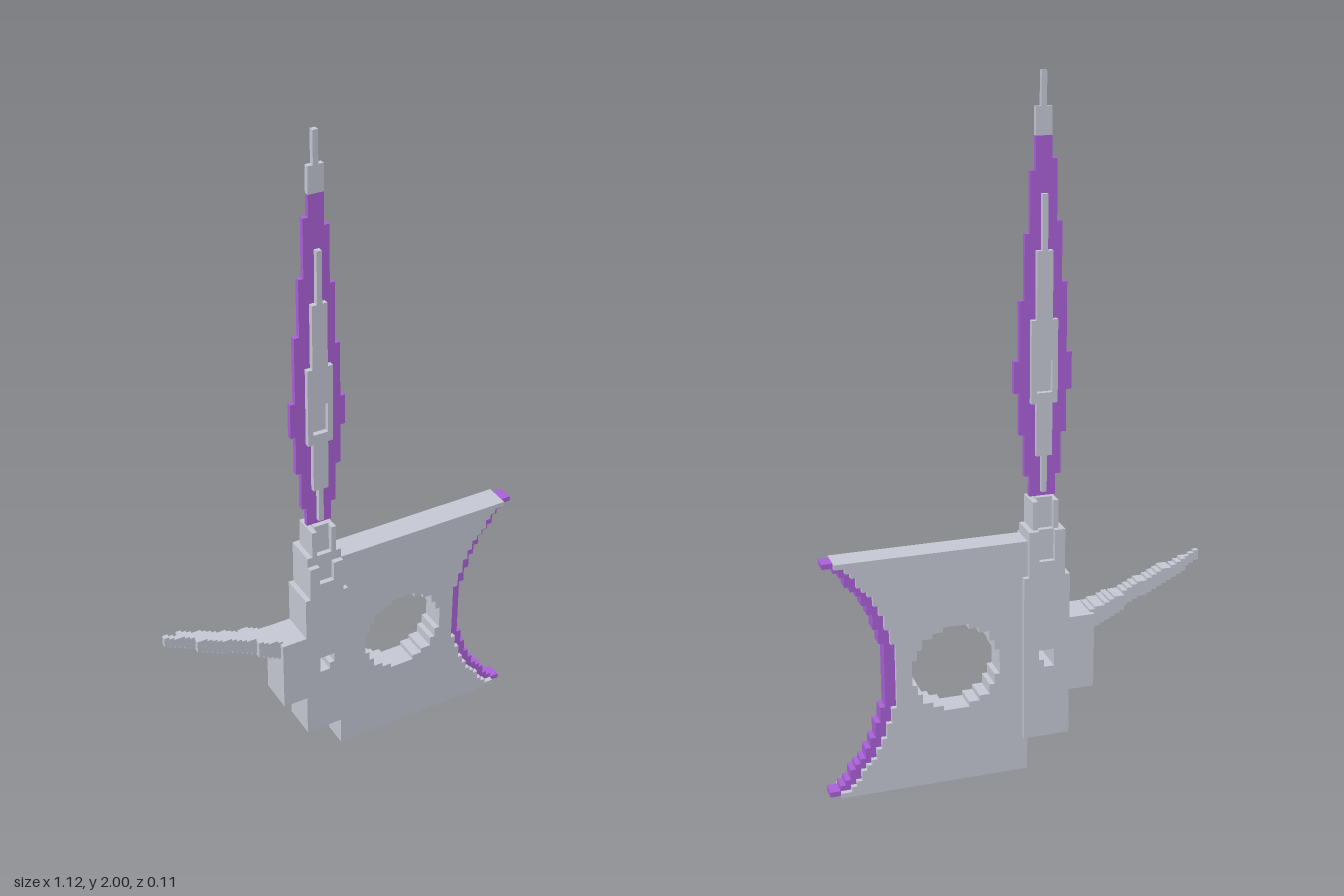
import * as THREE from 'three';

const V = 2 / 132; // size of one cube step
const MID = 23.5; // middle height of the axe head
const AXIS = -5; // shaft line of the blade

const steel = new THREE.MeshStandardMaterial({ color: 0xc7cad6 });
steel.name = 'steel grey';
const violet = new THREE.MeshStandardMaterial({ color: 0xac62da });
violet.name = 'violet edge';

// Stepped outline from rows [y0, y1, left, right], listed bottom to top
function outline(rows) {
  const pts = [];
  for (const [y0, y1, , r] of rows) pts.push([r, y0], [r, y1]);
  for (const [y0, y1, l] of [...rows].reverse()) pts.push([l, y1], [l, y0]);
  const clean = pts.filter((p, i) => !i || p[0] !== pts[i - 1][0] || p[1] !== pts[i - 1][1]);
  return clean.map(([x, y]) => new THREE.Vector2(x * V, y * V));
}

// Extruded stepped slab between z0 and z1, with optional stepped holes
function slab(name, mat, rows, z0, z1, holes = []) {
  const shape = new THREE.Shape(outline(rows));
  for (const h of holes) shape.holes.push(new THREE.Path(outline(h)));
  const geo = new THREE.ExtrudeGeometry(shape, { depth: (z1 - z0) * V, bevelEnabled: false });
  geo.translate(0, 0, z0 * V);
  const mesh = new THREE.Mesh(geo, mat);
  mesh.name = name;
  return mesh;
}

// Rows around the blade axis from [y0, y1, leftHalf, rightHalf]
const around = (rows) => rows.map(([a, b, l, r = l]) => [a, b, AXIS - l, AXIS + r]);

function axeHead() {
  const g = new THREE.Group();
  g.name = 'axeHead';
  const plate = [], edge = [], hole = [];
  for (let y = 0; y < 47; y++) {
    const dy = y + 0.5 - MID;
    const x = Math.round(55.8 - Math.sqrt(900 - dy * dy));
    plate.push([y, y + 1, -1.5, x - 2]);
    edge.push([y, y + 1, x - 2, x]);
    if (Math.abs(dy) < 8.5) {
      const w = Math.floor(Math.sqrt(72.25 - dy * dy)) + 0.5;
      hole.push([y, y + 1, 12.5 - w, 12.5 + w]);
    }
  }
  g.add(slab('axePlate', steel, plate, -2.5, 2.5, [hole]));
  // Edge is one box per row, since rows may only touch at corners
  for (const row of edge) g.add(slab('cuttingEdge', violet, [row], -1.5, 1.5));
  return g;
}

function hub() {
  const rows = [[7, 16, -9.5, -0.5], [16, 31, -14.5, -0.5], [31, 40, -9.5, -0.5]];
  const pinHole = [[21.5, 23, -6.5, -4.5], [23, 25, -6.5, -3.5]];
  return slab('hub', steel, rows, -3.5, 3.5, [pinHole]);
}

function collar() {
  const g = new THREE.Group();
  g.name = 'collar';
  g.add(slab('collarCore', steel, around([[40, 49, 3.5]]), -2.5, 2.5));
  g.add(slab('collarTop', steel, around([[49, 55, 1.5]]), -1.5, 1.5));
  for (const s of [-1, 1]) {
    const span = (a, b) => [AXIS + Math.min(s * a, s * b), AXIS + Math.max(s * a, s * b)];
    g.add(slab('collarProng', steel, [[49, 54.5, ...span(1.5, 2.5)]], -2.5, 2.5));
    const z = s > 0 ? [2.5, 3.5] : [-3.5, -2.5];
    for (const t of [-1, 1]) {
      const x = t > 0 ? [AXIS + 1.5, AXIS + 3.5] : [AXIS - 3.5, AXIS - 1.5];
      g.add(slab('collarRib', steel, [[40, s > 0 ? 47 : 49, ...x]], ...z));
    }
    g.add(slab('collarSill', steel, around([[40, 43, 1.5]]), ...z));
  }
  return g;
}

function blade() {
  const g = new THREE.Group();
  g.name = 'blade';
  const pit = around([[75, 81, 1.5]]);
  g.add(slab('bladeEdge', violet, around([
    [55, 59, 2.5], [59, 67, 3.5], [67, 75, 4.5], [75, 81, 5.5], [81, 82, 5.5, 4.5],
    [82, 92, 4.5], [92, 95, 4.5, 3.5], [95, 104, 3.5], [104, 106, 3.5, 2.5],
    [106, 115, 2.5], [115, 117, 2.5, 1.5], [117, 121, 1.5],
  ]), -0.5, 0.5, [pit]));
  g.add(slab('pitFloor', steel, pit, -0.5, 0.5));
  g.add(slab('bladeTip', steel, around([[121, 126, 1.5], [126, 132, 0.5]]), -0.5, 0.5));
  // Raised spine on both faces, open around the pit
  const spine = around([[56, 63, 0.5], [63, 73, 1.5], [73, 88.5, 2.5], [88.5, 101, 1.5], [101, 111, 0.5]]);
  g.add(slab('spineFront', steel, spine, 0.5, 1.5, [pit]));
  g.add(slab('spineBack', steel, spine, -1.5, -0.5, [pit]));
  return g;
}

function spike() {
  const g = new THREE.Group();
  g.name = 'spike';
  // Thickness steps: start x, back z, front z
  const steps = [[-37, -0.5, 0.5], [-34, -1.5, 0.5], [-31, -1.5, 1.5], [-21, -2.5, 1.5], [-19, -2.5, 2.5]];
  for (let x = -37; x < -14; x++) {
    const t = (x + 37) / 23;
    const top = Math.round((40 - 9 * t) * 2) / 2;
    const bottom = Math.round((38 - 11 * t) * 2) / 2;
    const [, z0, z1] = steps.filter((s) => s[0] <= x).pop();
    g.add(slab('spikeStep', steel, [[bottom, top, x, x + 1]], z0, z1));
  }
  return g;
}

export function createModel() {
  const model = new THREE.Group();
  model.name = 'halberdHead';
  model.add(axeHead(), hub(), collar(), blade(), spike());
  return model;
}
